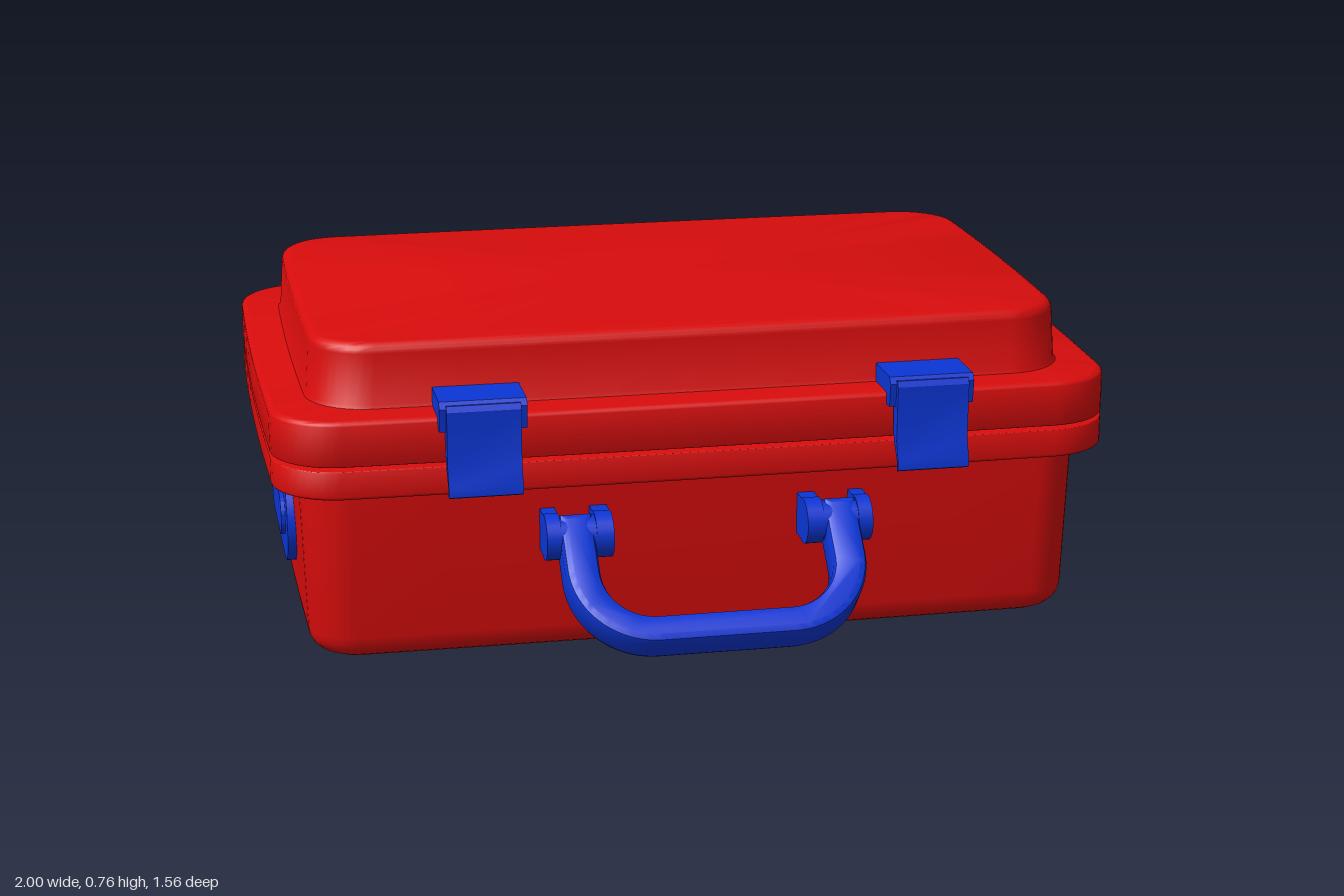
import * as THREE from 'three';
import { toCreasedNormals } from 'three/addons/utils/BufferGeometryUtils.js';

const red = new THREE.MeshStandardMaterial({ color: 0xd80c0c });
const blue = new THREE.MeshStandardMaterial({ color: 0x0c36d6 });
const CASE_Z = -0.106;

function add(parent, name, geometry, material, x = 0, y = 0, z = 0) {
  const mesh = new THREE.Mesh(geometry, material);
  mesh.name = name;
  mesh.position.set(x, y, z);
  parent.add(mesh);
  return mesh;
}

// Rounded rectangle ring with gently bowed edges, counter-clockwise from above
function ring(hx, hz, r, bow) {
  const pts = [], arc = 10, edge = 8;
  const corners = [[1, 1], [-1, 1], [-1, -1], [1, -1]];
  corners.forEach(([sx, sz], c) => {
    for (let i = 0; i <= arc; i++) {
      const a = (c + i / arc) * Math.PI / 2;
      pts.push([sx * (hx - r) + r * Math.cos(a), -sz * (hz - r) - r * Math.sin(a)]);
    }
    const [nx, nz] = corners[(c + 1) % 4];
    const a = (c + 1) * Math.PI / 2;
    const p = pts[pts.length - 1];
    const q = [nx * (hx - r) + r * Math.cos(a), -nz * (hz - r) - r * Math.sin(a)];
    for (let i = 1; i < edge; i++) {
      const t = i / edge;
      pts.push([p[0] + (q[0] - p[0]) * t, p[1] + (q[1] - p[1]) * t]);
    }
  });
  return pts.map(([x, z]) => [x * (1 - bow * (z / hz) ** 2), z * (1 - bow * (x / hx) ** 2)]);
}

// Closed shell through rings; profile rows are [inset, y]
function shell(hx, hz, r, bow, profile, dome = 0) {
  const pos = [], index = [];
  const rings = profile.map(([d]) => ring(hx - d, hz - d, r - d * 0.6, bow));
  const n = rings[0].length, m = rings.length;
  rings.forEach((pts, j) => pts.forEach(([x, z]) => pos.push(x, profile[j][1], z)));
  pos.push(0, profile[0][1], 0, 0, profile[m - 1][1] + dome, 0);
  for (let i = 0; i < n; i++) {
    const k = (i + 1) % n;
    for (let j = 0; j < m - 1; j++) {
      const a = j * n + i, b = j * n + k;
      index.push(a, b, b + n, a, b + n, a + n);
    }
    index.push(m * n, k, i, m * n + 1, (m - 1) * n + i, (m - 1) * n + k);
  }
  const g = new THREE.BufferGeometry();
  g.setAttribute('position', new THREE.Float32BufferAttribute(pos, 3));
  g.setIndex(index);
  return toCreasedNormals(g, 0.6);
}

// Quarter-round profile rows: bottom edge (dir -1) or top edge (dir 1)
function round(y, radius, dir, inset = 0) {
  const rows = [];
  for (let i = 0; i <= 5; i++) {
    const a = (dir > 0 ? i : 5 - i) / 5 * Math.PI / 2;
    rows.push([inset + radius * (1 - Math.cos(a)), y - dir * radius * (1 - Math.sin(a))]);
  }
  return rows;
}

function capsuleShape(half, r) {
  const s = new THREE.Shape();
  s.absarc(half, 0, r, -Math.PI / 2, Math.PI / 2);
  s.absarc(-half, 0, r, Math.PI / 2, Math.PI * 1.5);
  s.closePath();
  return s;
}

function polygon(points) {
  return new THREE.Shape(points.map(([x, y]) => new THREE.Vector2(x, y)));
}

// Side outline drawn as (z, y), extruded along x about its middle
function sideExtrude(points, width) {
  const g = new THREE.ExtrudeGeometry(polygon(points.map(([z, y]) => [-z, y])), { depth: width, bevelEnabled: false });
  g.translate(0, 0, -width / 2);
  g.rotateY(Math.PI / 2);
  return toCreasedNormals(g, 0.5);
}

function rod(r, length, sides = 24) {
  return new THREE.CylinderGeometry(r, r, length, sides).rotateZ(Math.PI / 2);
}

function buildLatch(x) {
  const latch = new THREE.Group();
  latch.name = 'latch';
  latch.position.x = x;
  // Bracket hooked over the rim
  add(latch, 'latchBracket', sideExtrude(
    [[0.42, 0.605], [0.535, 0.605], [0.535, 0.58], [0.565, 0.58], [0.572, 0.635], [0.56, 0.65], [0.42, 0.65]], 0.2), blue);
  // Pull plate with flared lip
  add(latch, 'latchPlate', sideExtrude(
    [[0.545, 0.64], [0.548, 0.52], [0.56, 0.49], [0.585, 0.455], [0.59, 0.43], [0.598, 0.434],
      [0.597, 0.455], [0.58, 0.5], [0.583, 0.63], [0.575, 0.643]], 0.17), blue);
  return latch;
}

function buildHandle() {
  const handle = new THREE.Group();
  handle.name = 'handle';
  // U-shaped grip, swung outwards
  const b = 0.018, out = 0.352 - b, inn = 0.272 + b, cx = 0.155;
  const bottom = -0.27 - 0.035 + b, inner = -0.27 + 0.035 - b;
  const s = new THREE.Shape();
  s.moveTo(-out, 0.02);
  s.lineTo(-out, bottom + out - cx);
  s.absarc(-cx, bottom + out - cx, out - cx, Math.PI, Math.PI * 1.5);
  s.absarc(cx, bottom + out - cx, out - cx, Math.PI * 1.5, Math.PI * 2);
  s.lineTo(out, 0.02);
  s.lineTo(inn, 0.02);
  s.absarc(cx, inner + inn - cx, inn - cx, 0, -Math.PI / 2, true);
  s.absarc(-cx, inner + inn - cx, inn - cx, -Math.PI / 2, -Math.PI, true);
  s.lineTo(-inn, 0.02);
  s.closePath();
  const depth = 0.096 - 2 * b;
  const g = new THREE.ExtrudeGeometry(s, { depth, bevelThickness: b, bevelSize: b, bevelSegments: 2, curveSegments: 10 });
  g.translate(0, 0, -depth / 2);
  const grip = add(handle, 'grip', toCreasedNormals(g, 0.5), blue, 0, 0.305, 0.54);
  grip.rotation.x = -0.82;
  // Pivot mounts: a pair of lugs around each leg
  for (const side of [-1, 1]) {
    add(handle, 'pivotPin', rod(0.048, 0.12), blue, side * 0.312, 0.305, 0.54);
    for (const [x, w] of [[0.248, 0.04], [0.367, 0.034]]) {
      add(handle, 'lug', rod(0.054, w), blue, side * x, 0.305, 0.536);
      add(handle, 'lugBase', new THREE.BoxGeometry(w, 0.1, 0.08), blue, side * x, 0.305, 0.496);
    }
  }
  return handle;
}

function buildHinge() {
  const hinge = new THREE.Group();
  hinge.name = 'hinge';
  for (const x of [-0.588, 0, 0.588]) add(hinge, 'hingeKnuckle', rod(0.038, 0.38), blue, x, 0.5, -0.737);
  add(hinge, 'hingeRod', rod(0.026, 1.55), blue, 0, 0.5, -0.737);
  add(hinge, 'hingeLeaf', new THREE.BoxGeometry(1.55, 0.02, 0.055), blue, 0, 0.496, -0.71);
  return hinge;
}

export function createModel() {
  const model = new THREE.Group();
  model.name = 'toolCase';

  // Lower tub and its rim
  add(model, 'tub', shell(0.935, 0.585, 0.11, 0.008,
    [...round(0, 0.06, -1, 0.012), [0, 0.43]]), red, 0, 0, CASE_Z);
  add(model, 'tubRim', shell(1, 0.647, 0.15, 0.012,
    [...round(0.422, 0.008, -1), ...round(0.491, 0.004, 1)]), red, 0, 0, CASE_Z);

  // Lid rim and raised crown
  add(model, 'lidRim', shell(1, 0.647, 0.15, 0.012,
    [...round(0.5, 0.004, -1), ...round(0.607, 0.016, 1)]), red, 0, 0, CASE_Z);
  add(model, 'lidCrown', shell(0.905, 0.548, 0.14, 0.012,
    [[-0.01, 0.6], [0, 0.615], ...round(0.758, 0.025, 1, 0.008)], 0.007), red, 0, 0, CASE_Z);

  for (const side of [-1, 1]) model.add(buildLatch(side * 0.523));
  model.add(buildHandle());
  model.add(buildHinge());

  // Oval badge plate with a raised bar on the right side
  const plate = new THREE.Group();
  plate.name = 'sidePlate';
  for (const [name, half, r, depth] of [['ovalPlate', 0.105, 0.112, 0.03], ['ovalBar', 0.1, 0.05, 0.04]]) {
    const g = new THREE.ExtrudeGeometry(capsuleShape(half, r), { depth, bevelEnabled: false, curveSegments: 16 });
    add(plate, name, toCreasedNormals(g, 0.5), blue);
  }
  plate.rotation.y = -Math.PI / 2;
  plate.position.set(-0.917, 0.245, -0.03);
  model.add(plate);
  return model;
}
